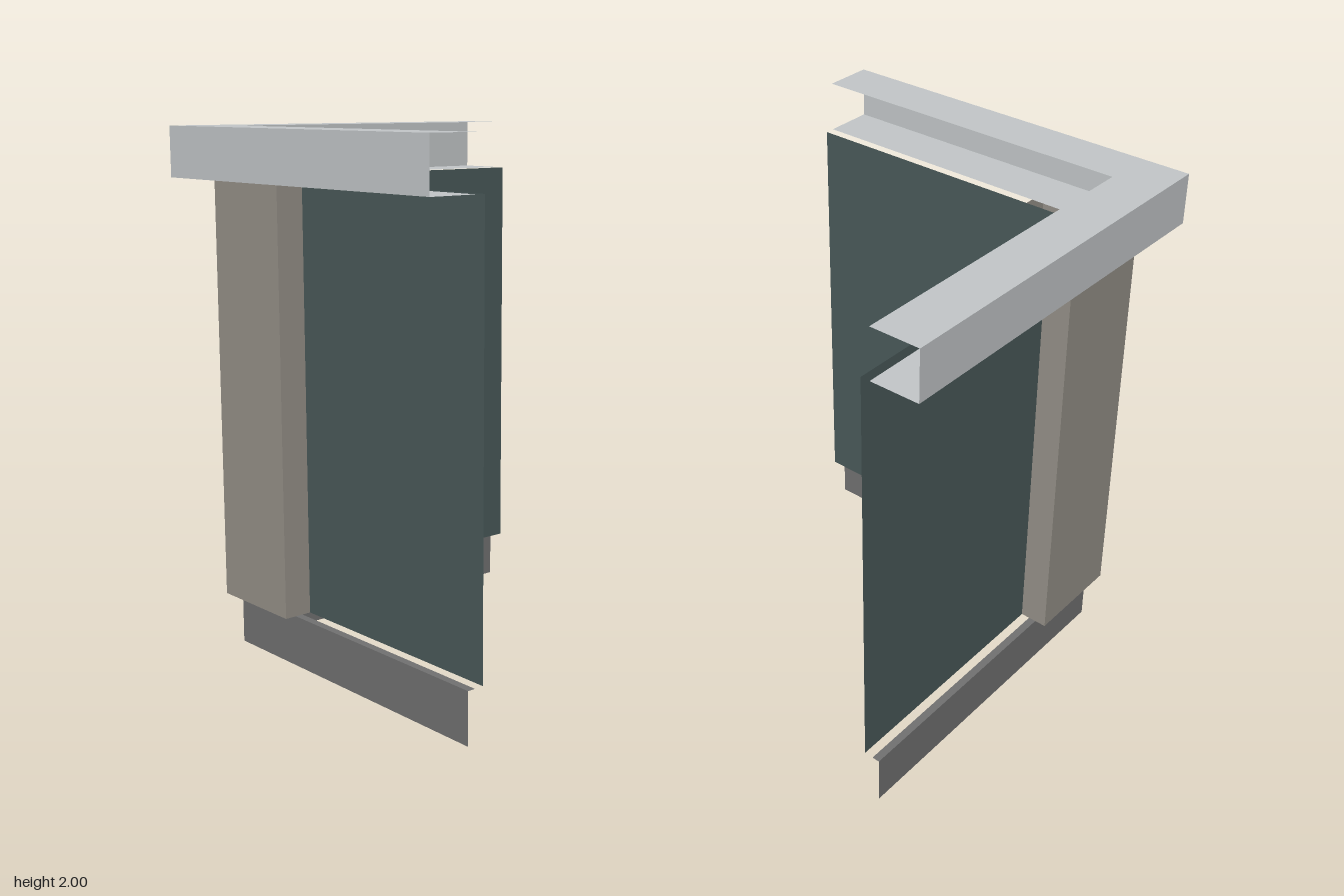
import * as THREE from 'three';

const sheet = (name, hex) => {
  const m = new THREE.MeshStandardMaterial({ color: hex, side: THREE.DoubleSide });
  m.name = name;
  return m;
};

// Flat-shaded surface between successive rows of points
function loft(name, rows, material) {
  const pos = [];
  for (let s = 0; s < rows.length - 1; s++) {
    for (let i = 0; i < rows[s].length - 1; i++) {
      const a = rows[s][i], b = rows[s + 1][i], c = rows[s + 1][i + 1], d = rows[s][i + 1];
      pos.push(...a, ...d, ...c, ...a, ...c, ...b);
    }
  }
  const geo = new THREE.BufferGeometry();
  geo.setAttribute('position', new THREE.Float32BufferAttribute(pos, 3));
  geo.computeVertexNormals();
  const mesh = new THREE.Mesh(geo, material);
  mesh.name = name;
  return mesh;
}

// Sweep a profile of [distance outward, height] around the mitred corner
function cornerSweep(name, profile, material, end = 0.74) {
  const stations = [d => [end, d], d => [-d, d], d => [-d, -end]];
  const rows = stations.map(f => profile.map(([d, y]) => {
    const [x, z] = f(d);
    return [x, y, z];
  }));
  return loft(name, rows, material);
}

export function createModel() {
  const group = new THREE.Group();
  group.name = 'buildingCorner';

  const trim = sheet('paleGreyTrim', 0xc4c8ca);
  const wall = sheet('darkTealWall', 0x4a5a5a);
  const stone = sheet('warmGreyStone', 0x969189);
  const plinth = sheet('darkGreyPlinth', 0x727272);

  const low = 0.195, high = 1.81, wallD = 0.515, innerD = 0.55;

  // Cornice: channel section open towards the inside
  group.add(cornerSweep('cornice', [[innerD, high], [0.74, high], [0.74, 2], [innerD, 2]], trim));

  // Two wall panels meeting at the corner
  group.add(cornerSweep('wallPanels', [[wallD, low], [wallD, high]], wall));

  // Corner pillar wrapping the wall, with returns at both ends
  const plan = [[-0.225, wallD], [-0.225, 0.625], [-0.625, 0.625], [-0.625, 0.225], [-wallD, 0.225]];
  group.add(loft('cornerPillar', plan.map(([x, z]) => [[x, low, z], [x, high, z]]), stone));

  // Base skirt with a narrow top ledge
  group.add(cornerSweep('base', [[0.58, 0], [0.58, low], [innerD, low]], plinth));

  return group;
}
